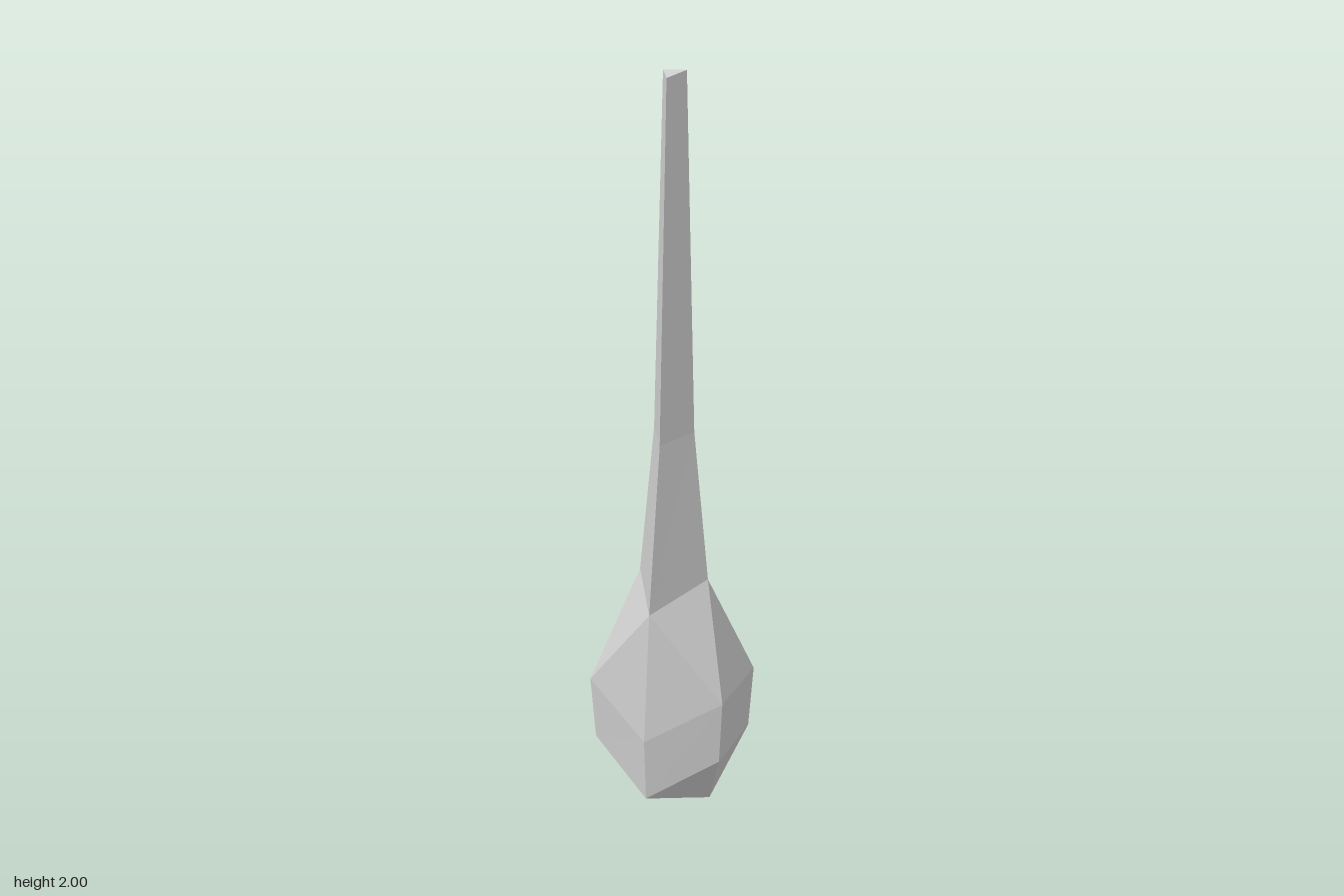
import * as THREE from 'three';

const material = new THREE.MeshStandardMaterial({ color: 0xcccccc, flatShading: true });

// Six corners, counter-clockwise seen from above, starting at the front.
const hexRing = (zPoint, yPoint, xSide, ySide, zSide) => [
  [0, yPoint, zPoint], [xSide, ySide, zSide], [xSide, ySide, -zSide],
  [0, yPoint, -zPoint], [-xSide, ySide, -zSide], [-xSide, ySide, zSide],
];

// Four corners (front, left, back, right), shifted slightly along x.
const diamondRing = (cx, xSide, ySide, zPoint, yPoint) => [
  [cx, yPoint, zPoint], [cx + xSide, ySide, 0],
  [cx, yPoint, -zPoint], [cx - xSide, ySide, 0],
];

// Quads between two rings with the same number of corners.
function band(lower, upper) {
  return lower.flatMap((a, i) => {
    const j = (i + 1) % lower.length;
    return [[a, lower[j], upper[j]], [a, upper[j], upper[i]]];
  });
}

function facetedMesh(name, triangles) {
  const geometry = new THREE.BufferGeometry();
  geometry.setAttribute('position', new THREE.Float32BufferAttribute(triangles.flat(2), 3));
  geometry.computeVertexNormals();
  const mesh = new THREE.Mesh(geometry, material);
  mesh.name = name;
  return mesh;
}

export function createModel() {
  const group = new THREE.Group();
  group.name = 'club';

  const low = hexRing(0.187, 0.072, 0.186, 0.19, 0.115);
  const wide = hexRing(0.197, 0.25, 0.197, 0.368, 0.122);
  const shoulder = diamondRing(0.003, 0.101, 0.668, 0.165, 0.61);
  const middle = diamondRing(0.004, 0.058, 1.08, 0.095, 1.06);
  const tip = diamondRing(0.006, 0.032, 2, 0.052, 1.982);

  // Head: keel edge at the bottom, straight band, then closing to the shoulder
  const [h0, h1, h2, h3, h4, h5] = low;
  const keelL = [0.114, 0, 0], keelR = [-0.114, 0, 0];
  const underside = [
    [h0, keelR, keelL], [h0, keelL, h1], [h1, keelL, h2], [h2, keelL, h3],
    [h3, keelL, keelR], [h3, keelR, h4], [h4, keelR, h5], [h5, keelR, h0],
  ];
  const [w0, w1, w2, w3, w4, w5] = wide;
  const [q0, q1, q2, q3] = shoulder;
  const shoulders = [
    [w0, w1, q0], [w1, q1, q0], [w1, w2, q1], [w2, q2, q1], [w2, w3, q2],
    [w3, w4, q2], [w4, q3, q2], [w4, w5, q3], [w5, q0, q3], [w5, w0, q0],
  ];
  group.add(facetedMesh('head', [...underside, ...band(low, wide), ...shoulders]));

  // Handle: tapering four-sided shaft with a ridged end
  const [t0, t1, t2, t3] = tip;
  group.add(facetedMesh('handle', [
    ...band(shoulder, middle), ...band(middle, tip), [t0, t1, t3], [t1, t2, t3],
  ]));

  return group;
}
